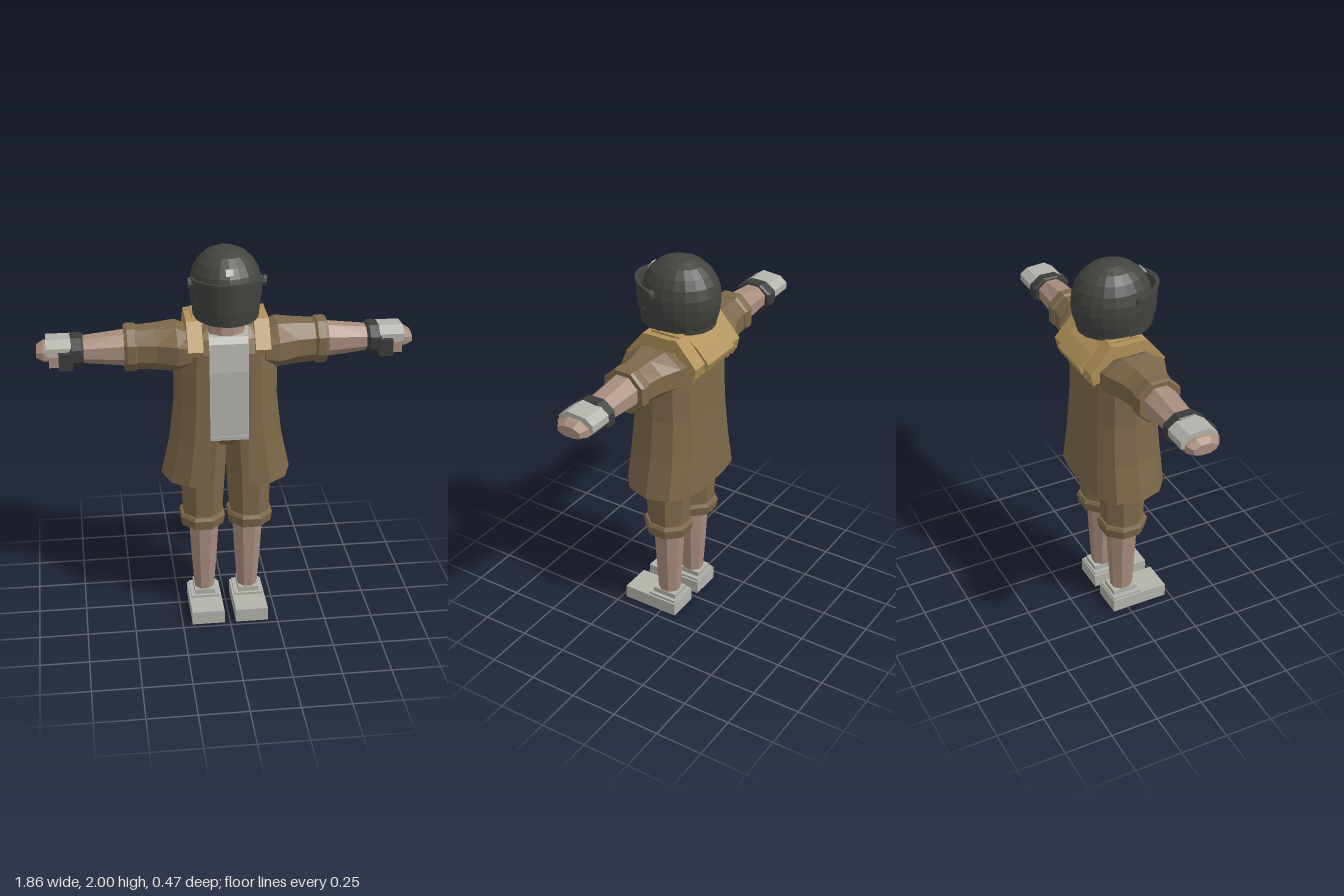
import * as THREE from 'three';

const mat = (name, color, side = THREE.FrontSide) => {
  const m = new THREE.MeshStandardMaterial({ color, side, flatShading: true });
  m.name = name;
  return m;
};

// Skin cross-sections together; rings run front -> left -> back, bottom to top
function loft(rings, closed = true, caps = true) {
  const pos = [], n = rings[0].length;
  const tri = (a, b, c) => pos.push(...a, ...b, ...c);
  for (let i = 0; i < rings.length - 1; i++) {
    for (let j = 0; j < (closed ? n : n - 1); j++) {
      const k = (j + 1) % n, A = rings[i], B = rings[i + 1];
      tri(A[j], A[k], B[k]);
      tri(A[j], B[k], B[j]);
    }
  }
  if (caps) {
    const mid = r => [0, 1, 2].map(k => r.reduce((s, p) => s + p[k], 0) / n);
    const lo = rings[0], hi = rings[rings.length - 1], cl = mid(lo), ch = mid(hi);
    for (let j = 0; j < n; j++) {
      const k = (j + 1) % n;
      tri(cl, lo[k], lo[j]);
      tri(ch, hi[j], hi[k]);
    }
  }
  const g = new THREE.BufferGeometry();
  g.setAttribute('position', new THREE.Float32BufferAttribute(pos, 3));
  g.computeVertexNormals();
  return g;
}

// Eight-sided column: sections are [y, centreX, radiusX, radiusZ]
const column = (sections, sides = 8) => loft(sections.map(([y, cx, rx, rz]) =>
  Array.from({ length: sides }, (_, j) => {
    const a = (j + 0.5) / sides * Math.PI * 2, k = 1 / Math.cos(Math.PI / sides);
    return [cx + Math.sin(a) * rx * k, y, Math.cos(a) * rz * k];
  })));

// Arm piece along x at shoulder height: sections are [x, radiusY, radiusZ]
const armPiece = sections => column(sections.map(([x, ry, rz]) => [x, 0, ry, rz]))
  .rotateZ(-Math.PI / 2).translate(0, 1.5, 0);

// Side profile of [z, y] points, extruded from x0 to x1
const profileX = (pts, x0, x1) => new THREE.ExtrudeGeometry(
  new THREE.Shape(pts.map(([z, y]) => new THREE.Vector2(-z, y))),
  { depth: x1 - x0, bevelEnabled: false }).rotateY(Math.PI / 2).translate(x0, 0, 0);

const box = (x0, x1, y0, y1, z0, z1) => new THREE.BoxGeometry(x1 - x0, y1 - y0, z1 - z0)
  .translate((x0 + x1) / 2, (y0 + y1) / 2, (z0 + z1) / 2);

// Torso outline, open or joined at the front by a flat panel
function bodyRing(y, w, zf, zb, gap = 0.097) {
  const half = [[gap, zf], [Math.max(gap + 0.01, 0.62 * w), 0.95 * zf], [0.88 * w, 0.62 * zf],
    [w, 0], [0.9 * w, -0.6 * zb], [0.62 * w, -0.92 * zb], [0.25 * w, -zb]];
  const left = half.map(([x, z]) => [x, y, z]);
  return [...left, ...left.slice().reverse().map(([x, yy, z]) => [-x, yy, z])];
}

// Mirror in x, turning each triangle the right way out again
function mirrored(geo) {
  const g = geo.index ? geo.toNonIndexed() : geo.clone();
  g.scale(-1, 1, 1);
  const p = g.attributes.position, a = new THREE.Vector3(), b = new THREE.Vector3();
  for (let i = 0; i < p.count; i += 3) {
    a.fromBufferAttribute(p, i + 1);
    b.fromBufferAttribute(p, i + 2);
    p.setXYZ(i + 1, b.x, b.y, b.z);
    p.setXYZ(i + 2, a.x, a.y, a.z);
  }
  g.computeVertexNormals();
  return g;
}

export function createModel() {
  const model = new THREE.Group();
  model.name = 'helmetedFigure';
  const coatBrown = mat('coat brown', 0x7d684a, THREE.DoubleSide);
  const trouserBrown = mat('trouser brown', 0x7d684a);
  const skin = mat('skin', 0xa88d7d);
  const gold = mat('collar gold', 0xb09158);
  const pale = mat('pale grey', 0xb2b3ab);
  const dark = mat('helmet charcoal', 0x42443f, THREE.DoubleSide);
  const black = mat('glove black', 0x3a3c3a);

  const add = (name, geo, material) => {
    const m = new THREE.Mesh(geo, material);
    m.name = name;
    model.add(m);
  };
  const pair = (name, geo, material) => {
    add('left' + name, geo, material);
    add('right' + name, mirrored(geo), material);
  };

  // Shoes and legs
  pair('Shoe', box(0.03, 0.2, 0, 0.072, -0.085, 0.225), pale);
  pair('ShoeHeel', box(0.04, 0.19, 0.07, 0.085, -0.08, 0.08), pale);
  pair('ShoeAnkle', box(0.063, 0.17, 0.085, 0.112, -0.07, 0.065), pale);
  pair('Calf', column([[0.1, 0.115, 0.05, 0.055], [0.3, 0.115, 0.064, 0.066], [0.53, 0.115, 0.077, 0.077]]), skin);
  pair('TrouserLeg', column([[0.54, 0.123, 0.098, 0.102], [0.8, 0.118, 0.11, 0.112], [1.03, 0.1, 0.1, 0.13]]), trouserBrown);
  pair('TrouserCuff', column([[0.505, 0.124, 0.108, 0.113], [0.555, 0.124, 0.116, 0.122], [0.572, 0.124, 0.108, 0.113]]), trouserBrown);
  add('trouserSeat', loft([bodyRing(0.985, 0.1, 0.1, 0.1, 0.02), bodyRing(1.03, 0.18, 0.13, 0.13), bodyRing(1.08, 0.19, 0.135, 0.135)]), trouserBrown);

  // Shirt and neck
  add('shirt', loft([bodyRing(1.05, 0.2, 0.15, 0.14), bodyRing(1.4, 0.2, 0.145, 0.14), bodyRing(1.54, 0.19, 0.125, 0.13), bodyRing(1.57, 0.15, 0.1, 0.1)]), pale);
  add('shirtHem', loft([bodyRing(1.035, 0.2, 0.155, 0.145), bodyRing(1.055, 0.2, 0.155, 0.145)]), pale);
  add('neck', column([[1.54, 0, 0.095, 0.09], [1.6, 0, 0.09, 0.085], [1.72, 0, 0.085, 0.08]], 10), skin);

  // Open coat with flared hem
  add('coat', loft([
    bodyRing(0.8, 0.332, 0.203, 0.198), bodyRing(1, 0.288, 0.192, 0.185),
    bodyRing(1.22, 0.262, 0.178, 0.172), bodyRing(1.4, 0.262, 0.167, 0.165),
    bodyRing(1.5, 0.25, 0.163, 0.163), bodyRing(1.57, 0.225, 0.135, 0.14),
    bodyRing(1.615, 0.17, 0.09, 0.1), bodyRing(1.63, 0.12, 0.07, 0.08)
  ], false, false), coatBrown);
  pair('Sleeve', armPiece([[0.18, 0.08, 0.165], [0.25, 0.113, 0.16], [0.35, 0.106, 0.118], [0.46, 0.1, 0.1]]), coatBrown);
  pair('SleeveCuff', armPiece([[0.44, 0.102, 0.105], [0.452, 0.11, 0.114], [0.49, 0.11, 0.114], [0.505, 0.104, 0.106]]), coatBrown);

  // Forearms, hands and gloves
  pair('Forearm', armPiece([[0.49, 0.085, 0.083], [0.74, 0.058, 0.07]]), skin);
  pair('WristBand', armPiece([[0.703, 0.068, 0.088], [0.715, 0.075, 0.1], [0.76, 0.075, 0.1], [0.77, 0.065, 0.09]]), black);
  pair('GlovePalm', armPiece([[0.76, 0.056, 0.085], [0.86, 0.056, 0.085]]), black);
  pair('GloveBack', profileX([[-0.1, 1.5], [-0.1, 1.535], [-0.06, 1.565], [0.04, 1.572], [0.087, 1.54], [0.087, 1.5]], 0.762, 0.885), pale);
  pair('Fingers', armPiece([[0.84, 0.052, 0.082], [0.9, 0.045, 0.08], [0.932, 0.026, 0.06]]), skin);
  pair('ThumbGlove', box(0.755, 0.825, 1.435, 1.52, 0.06, 0.115), black);
  pair('Thumb', box(0.8, 0.872, 1.45, 1.505, 0.065, 0.105), skin);

  // Collar: front flaps, side ridges and ragged back cape
  pair('CollarFlap', profileX([[-0.09, 1.655], [0.09, 1.655], [0.19, 1.53], [0.175, 1.5], [0.145, 1.51], [0.08, 1.6], [-0.09, 1.59]], 0.128, 0.203), gold);
  pair('CollarRidge', profileX([[-0.1, 1.665], [0.06, 1.665], [0.075, 1.63], [-0.1, 1.6]], 0.115, 0.17), gold);
  add('collarBack', profileX([[-0.07, 1.66], [-0.1, 1.66], [-0.212, 1.535], [-0.198, 1.475], [-0.165, 1.48], [-0.15, 1.54], [-0.07, 1.61]], -0.203, 0.203), gold);
  add('collarRoll', profileX([[-0.095, 1.655], [-0.17, 1.6], [-0.232, 1.532], [-0.22, 1.5], [-0.17, 1.53]], -0.12, 0.12), gold);
  for (let i = 0; i < 9; i++) {
    const x = (i - 4) * 0.045;
    add('collarTooth', new THREE.ConeGeometry(0.025, 0.05, 4).rotateX(Math.PI).translate(x, 1.465, -0.185), gold);
  }

  // Helmet shell
  const shell = [[0, 1.665], [0.15, 1.66], [0.16, 1.685], [0.173, 1.73], [0.18, 1.79], [0.177, 1.84],
    [0.163, 1.89], [0.138, 1.935], [0.1, 1.971], [0.053, 1.993], [0, 2]];
  add('helmetShell', new THREE.LatheGeometry(shell.map(([x, y]) => new THREE.Vector2(x, y)), 20)
    .scale(1, 1, 1.12).toNonIndexed(), dark);

  // Curved helmet bands: bottom and top heights vary with the angle
  const band = (limit, rx, rz, low, high, lean) => {
    const rows = [[0.94, 0], [1, 0], [1, 1], [0.94, 1]].map(([s, top]) =>
      Array.from({ length: 17 }, (_, j) => {
        const t = j / 8 - 1, a = t * limit, k = s * (top ? 1 : lean);
        return [Math.sin(a) * rx * k, top ? high(t) : low(t), Math.cos(a) * rz * k];
      }));
    return loft(rows, false, false);
  };
  add('visor', band(1.3, 0.187, 0.235, t => 1.725 + 0.1 * t ** 4, t => 1.88 - 0.015 * t * t, 0.96), dark);
  add('visorTrim', band(1.25, 0.19, 0.239, t => 1.865 - 0.01 * t * t, t => 1.88 - 0.01 * t * t, 1), dark);
  add('chinBar', band(1.5, 0.172, 0.22, () => 1.66, t => 1.73 + 0.04 * t * t, 0.95), dark);
  add('helmetRim', band(Math.PI, 0.158, 0.18, () => 1.658, () => 1.685, 0.98), dark);
  pair('VisorPivot', new THREE.CylinderGeometry(0.027, 0.027, 0.03, 10).rotateZ(Math.PI / 2).translate(0.176, 1.845, 0.07), dark);

  // Small plain badge on the forehead
  add('foreheadBadge', new THREE.BoxGeometry(0.036, 0.036, 0.008).rotateX(-0.65).translate(0, 1.92, 0.168), pale);
  return model;
}
